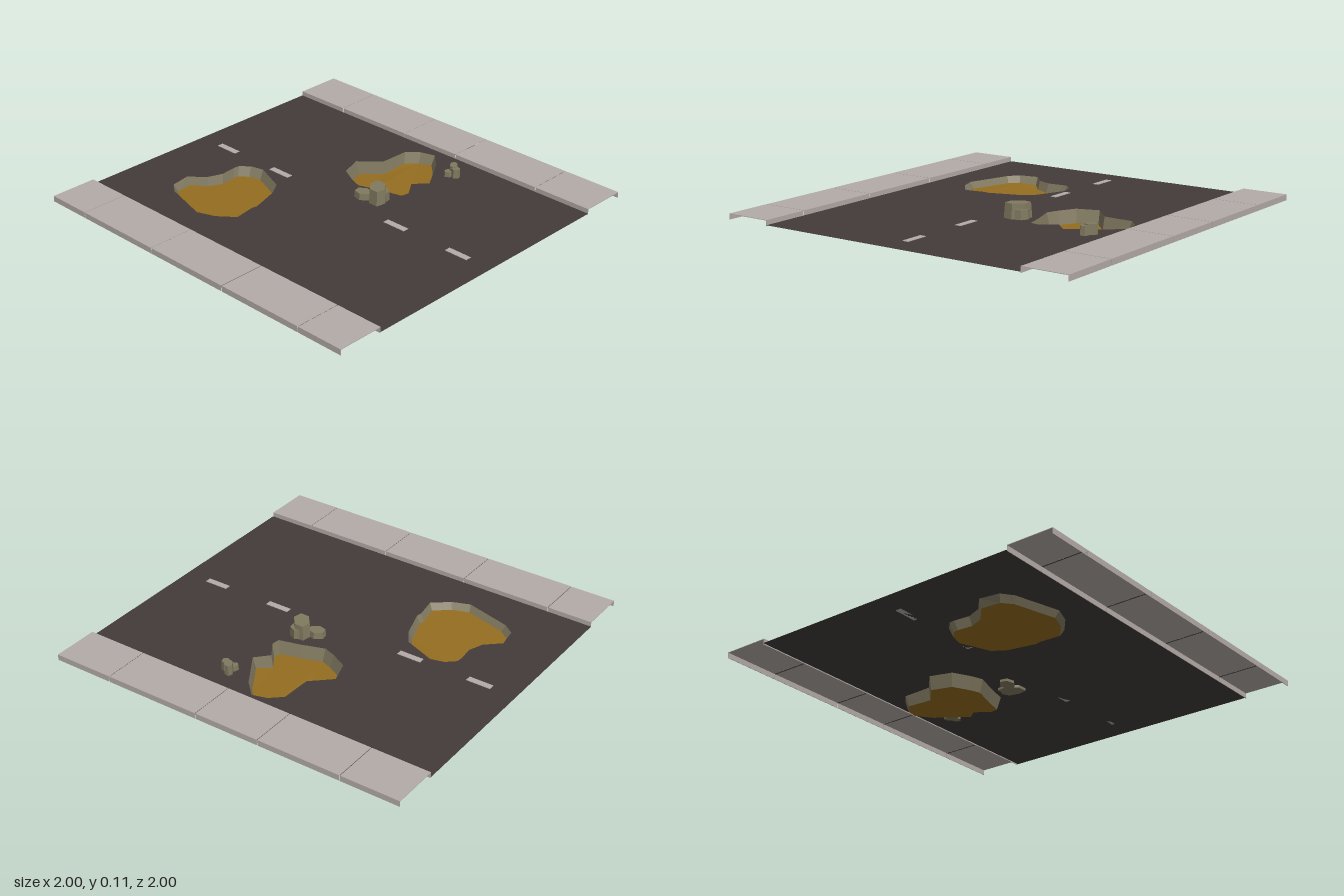
import * as THREE from 'three';

const ANGLE = -0.593, HALF = 0.72, ROAD = 0.54;
const ROAD_Y = 0.05, WALK_Y = 0.068;

const mat = (name, color) => {
  const m = new THREE.MeshStandardMaterial({ color, side: THREE.DoubleSide, flatShading: true });
  m.name = name;
  return m;
};

// Pit outlines as [x, z], with a floor height rule for the tilted bottoms
const pits = [
  {
    name: 'leftPit', centre: [-0.41, 0.01],
    rim: [[-0.42, -0.17], [-0.405, -0.187], [-0.36, -0.193], [-0.31, -0.175], [-0.235, -0.065], [-0.237, 0.0],
      [-0.27, 0.11], [-0.285, 0.125], [-0.32, 0.2], [-0.4, 0.207], [-0.47, 0.19], [-0.59, 0.05],
      [-0.607, 0.0], [-0.575, -0.07], [-0.5, -0.08], [-0.45, -0.115]],
    floor: (x, z) => 0.014 + 0.06 * Math.max(0, z) + 0.1 * Math.max(0, -0.5 - x),
  },
  {
    name: 'rightPit', centre: [0.18, -0.24],
    rim: [[0.19, -0.415], [0.25, -0.423], [0.305, -0.405], [0.32, -0.33], [0.315, -0.175], [0.25, -0.16],
      [0.25, -0.085], [0.228, -0.062], [0.15, -0.09], [0.06, -0.115], [0.03, -0.155],
      [-0.005, -0.22], [0.02, -0.305], [0.12, -0.32], [0.15, -0.36]],
    floor: (x, z) => 0.15 * Math.max(0, x - 0.25) + 0.08 * Math.max(0, -z - 0.3),
  },
];

// Rotated local (along, across) position to [x, z]
const place = (u, v) => [
  u * Math.cos(ANGLE) + v * Math.sin(ANGLE),
  -u * Math.sin(ANGLE) + v * Math.cos(ANGLE),
];
const toVec = (list) => list.map(([x, z]) => new THREE.Vector2(x, -z));

function triangles(points) {
  const g = new THREE.BufferGeometry();
  g.setAttribute('position', new THREE.Float32BufferAttribute(points.flat(), 3));
  g.computeVertexNormals();
  return g;
}

export function createModel() {
  const model = new THREE.Group();
  model.name = 'damagedRoad';
  const asphalt = mat('asphalt', 0x423b3a);
  const concrete = mat('pale concrete', 0xb4aba7);
  const soil = mat('ochre soil', 0x946d20);
  const stone = mat('broken stone', 0x817960);

  const add = (parent, name, geometry, material, x = 0, y = 0, z = 0) => {
    const m = new THREE.Mesh(geometry, material);
    m.name = name;
    m.position.set(x, y, z);
    parent.add(m);
    return m;
  };

  // Road surface with the pits cut out
  const road = new THREE.Shape(toVec([
    place(-HALF, -ROAD), place(-HALF, ROAD), place(HALF, ROAD), place(HALF, -ROAD)]));
  pits.forEach((p) => road.holes.push(new THREE.Path(toVec(p.rim))));
  add(model, 'roadSurface', new THREE.ShapeGeometry(road).rotateX(-Math.PI / 2), asphalt, 0, ROAD_Y);

  // Pits: sloping broken walls and a soil floor
  for (const p of pits) {
    const [cx, cz] = p.centre;
    const group = new THREE.Group();
    group.name = p.name;
    model.add(group);
    const top = p.rim.map(([x, z]) => [x, ROAD_Y, z]);
    const base = p.rim.map(([x, z]) => {
      const bx = cx + (x - cx) * 0.92, bz = cz + (z - cz) * 0.92;
      return [bx, p.floor(bx, bz), bz];
    });
    const wall = [];
    top.forEach((a, i) => {
      const j = (i + 1) % top.length;
      wall.push(a, top[j], base[i], top[j], base[j], base[i]);
    });
    add(group, 'pitWall', triangles(wall), stone);
    const faces = THREE.ShapeUtils.triangulateShape(toVec(p.rim), []);
    const floor = faces.flatMap((f) => f.map((i) => base[i]));
    add(group, 'pitFloor', triangles(floor), soil);
  }

  // Sidewalks: open-bottomed slabs split by narrow joints
  const street = new THREE.Group();
  street.name = 'streetEdges';
  street.rotation.y = ANGLE;
  model.add(street);
  const width = HALF - ROAD, skin = 0.002, drop = 0.022;
  for (const side of [-1, 1]) {
    const joints = side < 0 ? [-0.49, -0.16, 0.1, 0.48] : [-0.54, -0.18, 0.175, 0.53];
    const ends = [-HALF, ...joints, HALF];
    for (let i = 0; i < ends.length - 1; i++) {
      const len = ends[i + 1] - ends[i] - 0.003, u = (ends[i] + ends[i + 1]) / 2;
      add(street, 'sidewalkSlab', new THREE.BoxGeometry(len, skin, width), concrete,
        u, WALK_Y - skin / 2, side * (ROAD + width / 2));
      for (const v of [ROAD + skin / 2, HALF - skin / 2]) {
        add(street, 'curbFace', new THREE.BoxGeometry(len, drop, skin), concrete,
          u, WALK_Y - drop / 2, side * v);
      }
    }
    for (const u of joints) {
      add(street, 'sidewalkJoint', new THREE.BoxGeometry(0.004, 0.001, width - 0.006), asphalt,
        u, WALK_Y - 0.003, side * (ROAD + width / 2));
    }
  }

  // Centre line dashes
  for (const u of [-0.575, -0.29, 0.29, 0.575]) {
    add(street, 'laneDash', new THREE.BoxGeometry(0.095, 0.002, 0.024), concrete, u, ROAD_Y + 0.001, 0);
  }

  // Loose rubble: [x, z, width, depth, top, turn]
  const rubble = [
    [0.147, -0.015, 0.066, 0.098, 0.106, 0.1],
    [0.093, -0.028, 0.07, 0.055, 0.075, -0.4],
    [0.165, -0.03, 0.045, 0.06, 0.085, 0.5],
    [0.392, -0.268, 0.032, 0.05, 0.088, 0.0],
    [0.375, -0.25, 0.035, 0.03, 0.07, 0.3],
    [0.402, -0.247, 0.034, 0.036, 0.084, 0.6],
  ];
  for (const [x, z, w, d, top, turn] of rubble) {
    const h = top - 0.04;
    const g = new THREE.CylinderGeometry(0.47, 0.52, 1, 6).scale(w, h, d);
    add(model, 'rubble', g, stone, x, 0.04 + h / 2, z).rotation.y = turn;
  }
  return model;
}
